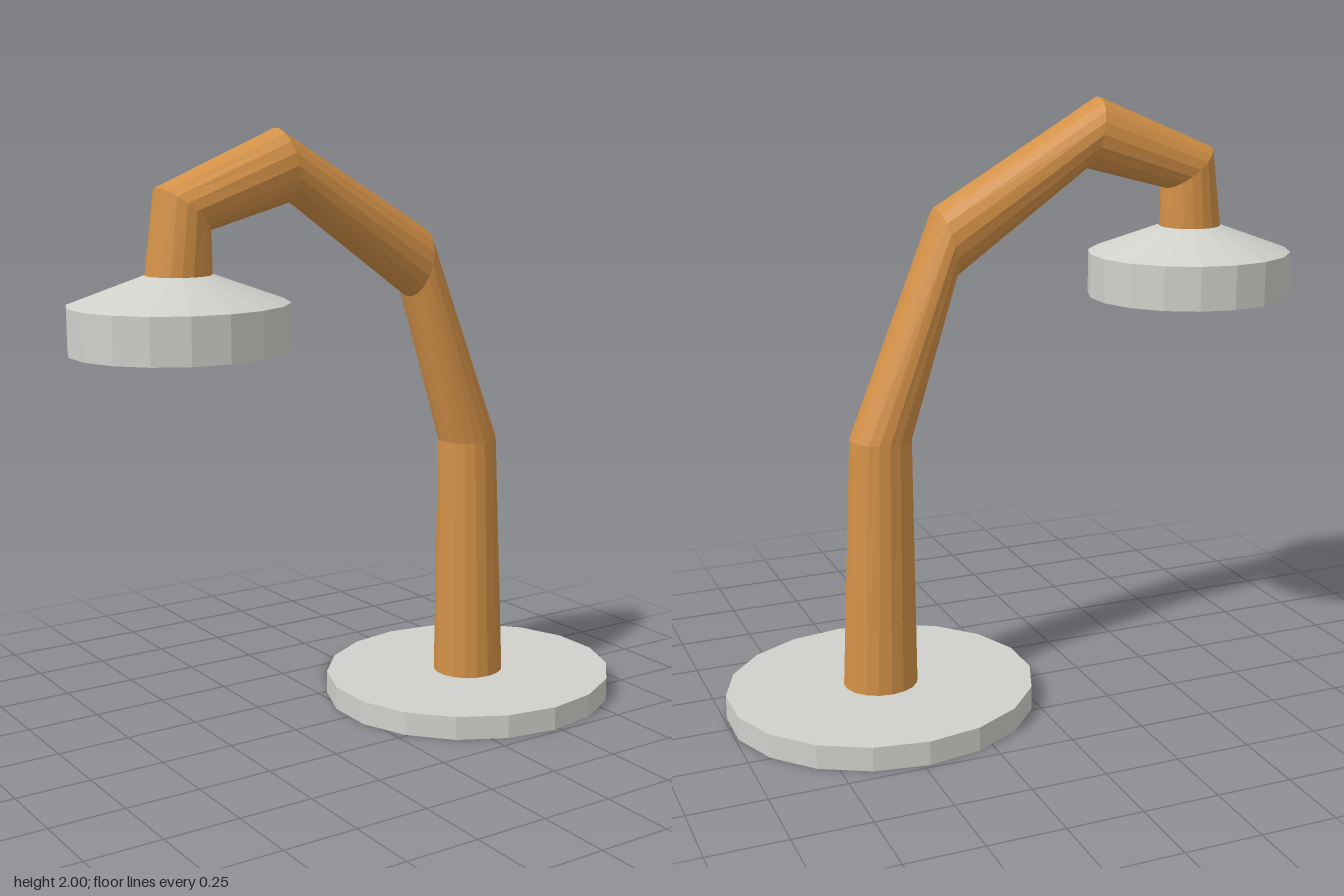
import * as THREE from 'three';

const SIDES = 18;

// Flat-shaded tube through mitred rings: each ring is [outerX, outerY, innerX, innerY, halfDepth]
function mitredTube(rings) {
  const point = ([ox, oy, ix, iy, d], j) => {
    const t = (j / SIDES) * Math.PI * 2;
    const s = Math.sin(t) / 2;
    return [(ox + ix) / 2 + (ox - ix) * s, (oy + iy) / 2 + (oy - iy) * s, Math.cos(t) * d];
  };
  const pos = [];
  for (let i = 0; i < rings.length - 1; i++) {
    for (let j = 0; j < SIDES; j++) {
      const a = point(rings[i], j), b = point(rings[i], j + 1);
      const c = point(rings[i + 1], j + 1), d = point(rings[i + 1], j);
      pos.push(...a, ...b, ...c, ...a, ...c, ...d);
    }
  }
  const geo = new THREE.BufferGeometry();
  geo.setAttribute('position', new THREE.Float32BufferAttribute(pos, 3));
  geo.computeVertexNormals();
  return geo;
}

export function createModel() {
  const group = new THREE.Group();
  const material = (name, color) => {
    const m = new THREE.MeshStandardMaterial({ color });
    m.name = name;
    m.flatShading = true;
    return m;
  };
  const grey = material('light grey', 0xd0d1cb);
  const wood = material('warm wood', 0xd39147);
  const black = material('black', 0x050505);

  const add = (name, geo, mat, x = 0, y = 0) => {
    const mesh = new THREE.Mesh(geo, mat);
    mesh.name = name;
    mesh.position.set(x, y, 0);
    group.add(mesh);
    return mesh;
  };

  // Round foot, slightly wider than deep
  const base = add('base', new THREE.CylinderGeometry(0.518, 0.518, 0.08, SIDES), grey, 0.48, 0.04);
  base.scale.z = 0.936;

  // Bent arm, from the foot over to the shade
  add('arm', mitredTube([
    [0.605, 0.08, 0.355, 0.08, 0.118],
    [0.565, 0.93, 0.36, 0.925, 0.1],
    [0.265, 1.667, 0.205, 1.44, 0.1],
    [-0.305, 2.0, -0.255, 1.77, 0.1],
    [-0.722, 1.825, -0.555, 1.69, 0.1],
    [-0.76, 1.56, -0.55, 1.56, 0.1],
  ]), wood);

  // Shade: recessed inner lip, rim, drum wall, sloping top
  const profile = [[0.328, 1.36], [0.328, 1.325], [0.35, 1.325], [0.35, 1.472], [0.108, 1.56], [0, 1.56]]
    .map(([r, y]) => new THREE.Vector2(r, y));
  const shade = add('shade', new THREE.LatheGeometry(profile, SIDES), grey, -0.655);
  shade.scale.z = 0.925;

  // Dark disc closing the underside of the shade
  const disc = add('shadeOpening', new THREE.CylinderGeometry(0.328, 0.328, 0.008, SIDES), black, -0.655, 1.356);
  disc.scale.z = 0.925;

  return group;
}
